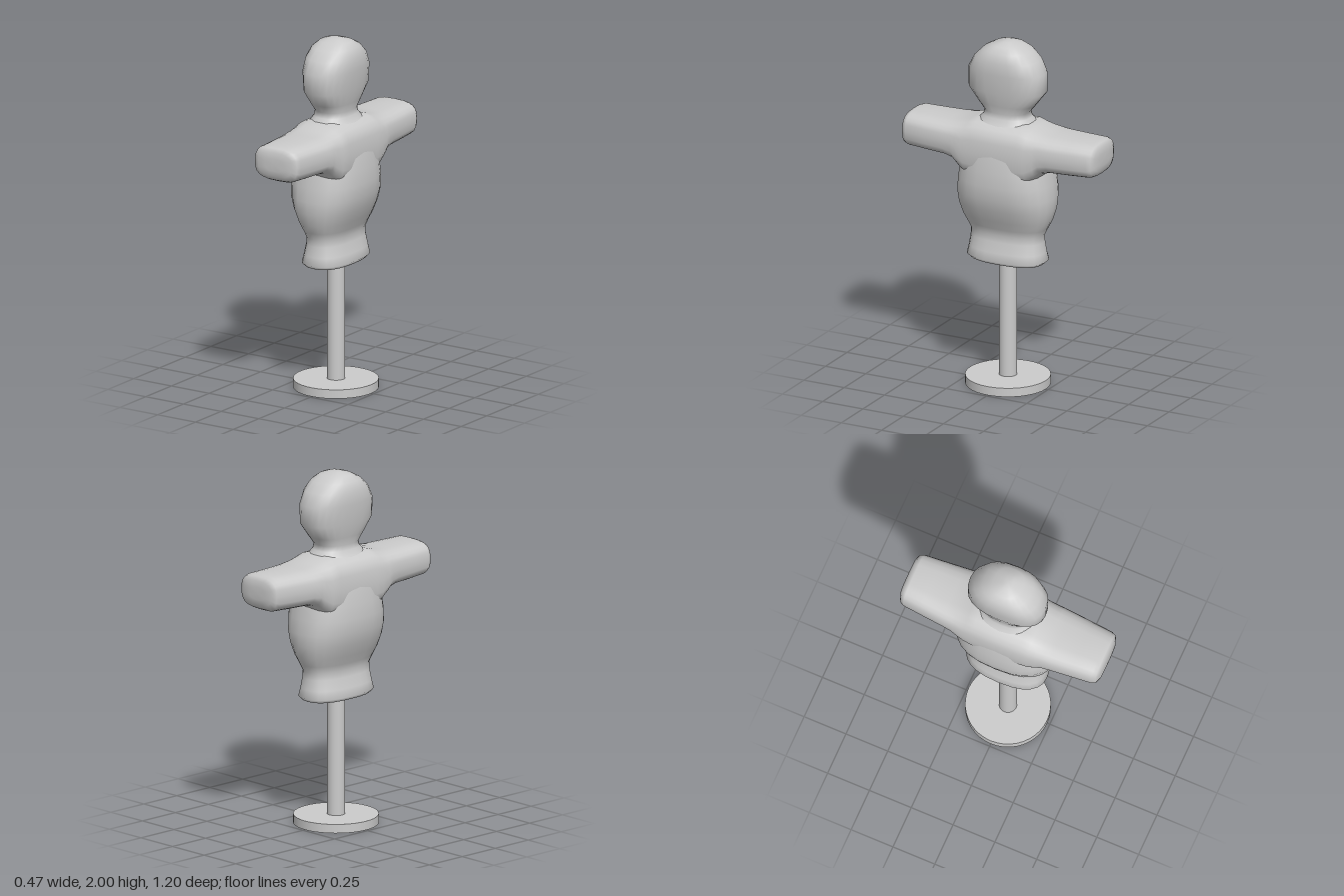
import * as THREE from 'three';
import { mergeVertices } from 'three/addons/utils/BufferGeometryUtils.js';

const SIDES = 24;

// Smooth closed loft through rounded cross-sections.
// point(section, c, s) places one ring point; rings run counter-clockwise about the axis.
function loft(sections, power, point) {
  const positions = [], index = [];
  const round = (v) => Math.sign(v) * Math.abs(v) ** (2 / power);
  sections.forEach((section, i) => {
    for (let j = 0; j < SIDES; j++) {
      const t = (j / SIDES) * Math.PI * 2;
      positions.push(...point(section, round(Math.cos(t)), round(Math.sin(t))));
      if (i === sections.length - 1) continue;
      const k = (j + 1) % SIDES;
      const a = i * SIDES + j, b = i * SIDES + k;
      index.push(a, b, b + SIDES, a, b + SIDES, a + SIDES);
    }
  });
  const geometry = new THREE.BufferGeometry();
  geometry.setAttribute('position', new THREE.Float32BufferAttribute(positions, 3));
  geometry.setIndex(index);
  const merged = mergeVertices(geometry, 1e-4);
  merged.computeVertexNormals();
  return merged;
}

export function createModel() {
  const group = new THREE.Group();
  const material = new THREE.MeshStandardMaterial({ color: 0xcccccc });
  const add = (name, geometry, y = 0) => {
    const mesh = new THREE.Mesh(geometry, material);
    mesh.name = name;
    mesh.position.y = y;
    group.add(mesh);
  };

  // Stand
  add('base', new THREE.CylinderGeometry(0.235, 0.235, 0.05, 40), 0.025);
  add('pole', new THREE.CylinderGeometry(0.05, 0.05, 0.72, 32), 0.39);

  // Skirt, belly, shoulders, neck and head: [height, half width x, half width z]
  const body = [
    [0.717, 0, 0], [0.718, 0.08, 0.15], [0.723, 0.12, 0.215], [0.742, 0.138, 0.236],
    [0.79, 0.127, 0.225], [0.85, 0.112, 0.217], [0.89, 0.108, 0.216], [0.93, 0.122, 0.236],
    [0.98, 0.147, 0.261], [1.05, 0.177, 0.28], [1.12, 0.198, 0.285], [1.2, 0.206, 0.277],
    [1.28, 0.2, 0.264], [1.36, 0.192, 0.25], [1.43, 0.178, 0.235], [1.49, 0.155, 0.21],
    [1.535, 0.122, 0.165], [1.565, 0.102, 0.137], [1.595, 0.097, 0.128], [1.64, 0.109, 0.165],
    [1.72, 0.128, 0.227], [1.83, 0.14, 0.225], [1.9, 0.139, 0.187], [1.95, 0.12, 0.137],
    [1.98, 0.088, 0.082], [1.995, 0.04, 0.03], [2, 0, 0],
  ];
  add('body', loft(body, 2.5, ([y, a, b], c, s) => [a * c, y, -b * s]));

  // Both arms in one span: [distance from centre, half width x, bottom, top]
  const arm = [
    [0, 0.19, 1.2, 1.55], [0.14, 0.188, 1.2, 1.55], [0.19, 0.184, 1.21, 1.534],
    [0.24, 0.179, 1.255, 1.522], [0.27, 0.176, 1.288, 1.517], [0.32, 0.172, 1.302, 1.511],
    [0.45, 0.16, 1.306, 1.51], [0.56, 0.15, 1.311, 1.51], [0.583, 0.14, 1.322, 1.502],
    [0.596, 0.11, 1.345, 1.48], [0.6, 0.06, 1.375, 1.445], [0.6, 0, 1.41, 1.41],
  ];
  const mirrored = arm.slice(1).reverse().map(([z, ...rest]) => [-z, ...rest]);
  add('arms', loft([...mirrored, ...arm], 3, ([z, a, low, high], c, s) =>
    [a * c, (low + high) / 2 + ((high - low) / 2) * s, z]));

  return group;
}
